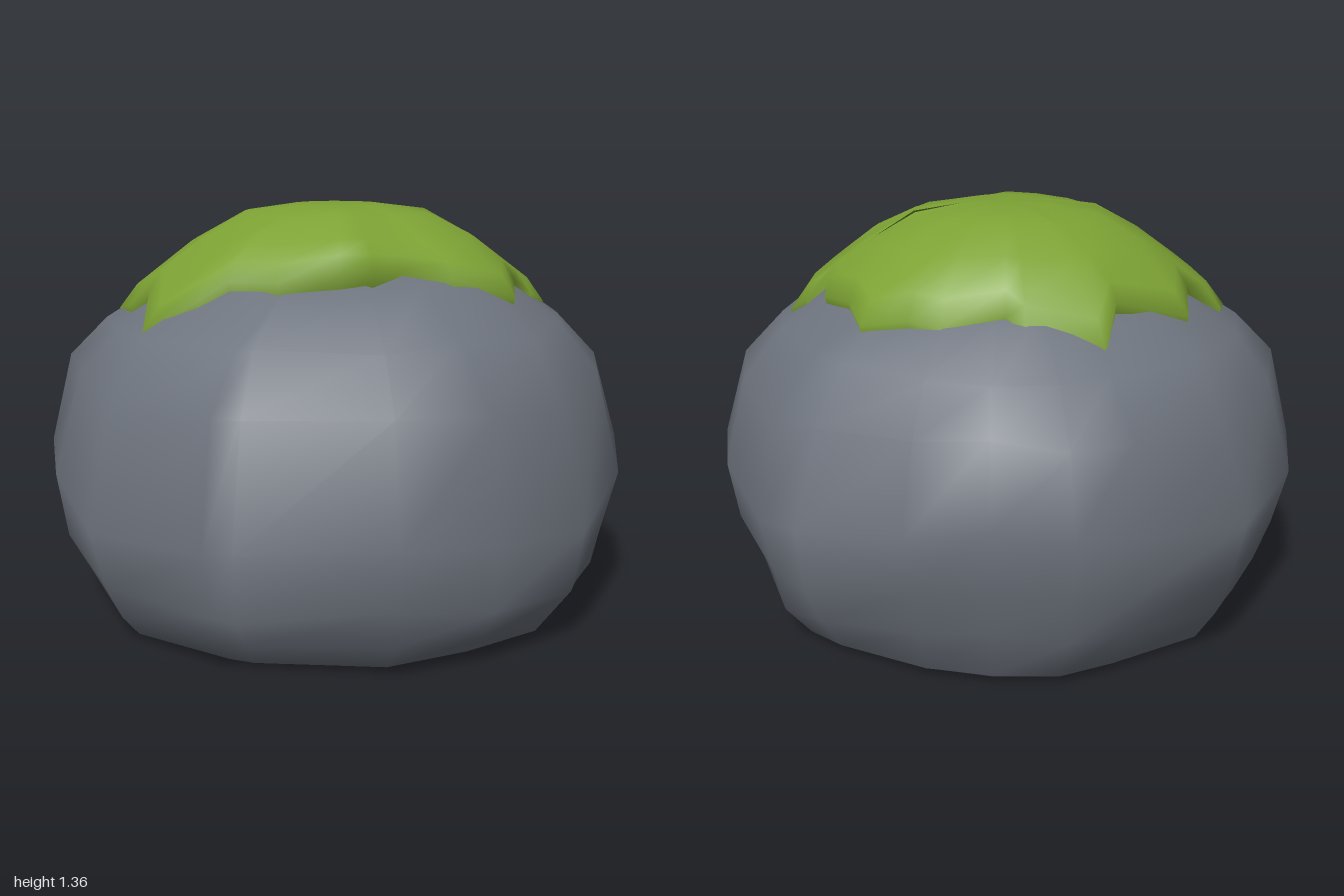
import * as THREE from 'three';

// Closed surface through equal-length rings (bottom to top) with a centre point at each end
function loft(rings, bottom, top) {
  const n = rings[0].length, index = [];
  const points = [...rings.flat(), bottom, top];
  const low = rings.length * n, high = low + 1, last = (rings.length - 1) * n;
  for (let j = 0; j < n; j++) {
    const k = (j + 1) % n;
    for (let i = 0; i < rings.length - 1; i++) {
      const a = i * n + j, b = i * n + k;
      index.push(a, b, b + n, a, b + n, a + n);
    }
    index.push(low, k, j, high, last + j, last + k);
  }
  const geometry = new THREE.BufferGeometry();
  geometry.setAttribute('position', new THREE.Float32BufferAttribute(points.flat(), 3));
  geometry.setIndex(index);
  geometry.computeVertexNormals();
  return geometry;
}

function seeded(seed) {
  return () => (seed = (seed * 16807) % 2147483647) / 2147483647;
}

// Piecewise linear lookup in [radius, height] pairs
function heightAt(profile, r) {
  for (let i = 1; i < profile.length; i++) {
    const [r0, y0] = profile[i - 1], [r1, y1] = profile[i];
    if (r <= r1) return y0 + (y1 - y0) * (r - r0) / (r1 - r0);
  }
  return profile[profile.length - 1][1];
}

// Boulder: plan outline [x, z] and vertical profile [scale, y]
const rockOutline = [
  [1, 0], [0.95, -0.25], [0.77, -0.65], [0.64, -0.76], [0.3, -0.94], [0.05, -1], [-0.2, -1],
  [-0.4, -0.9], [-0.74, -0.69], [-0.95, -0.3], [-1, 0], [-0.95, 0.25], [-0.78, 0.65],
  [-0.42, 0.9], [-0.33, 0.94], [0.15, 1], [0.46, 0.86], [0.75, 0.67], [0.95, 0.27],
];
const rockProfile = [
  [0.79, 0], [0.835, 0.025], [0.91, 0.17], [0.965, 0.32], [1, 0.53],
  [0.92, 0.82], [0.785, 0.97], [0.55, 1.12], [0.3, 1.19],
];

function rockGeometry() {
  const random = seeded(41);
  const rings = rockProfile.map(([s, y]) => rockOutline.map(([x, z]) => {
    const rough = y > 0.1 && s < 1 ? 1 : 0;
    const k = s * (1 + rough * (random() - 0.5) * 0.04);
    // The widest line tilts towards the front and sags on the diagonals
    const tilt = y < 0.85 ? 0.07 * z * Math.sin(Math.PI * y / 0.85) : 0;
    const sag = y < 1 ? 0.2 * Math.abs(x * z) * Math.sin(Math.PI * y) : 0;
    return [x * k, y - tilt - sag + rough * (random() - 0.5) * 0.03, z * k];
  }));
  return loft(rings, [0, 0, 0], [0, 1.21, 0]);
}

// Moss: ragged plan outline with side lobes, draped over a dome
const mossOutline = [
  [0.72, 0.03], [0.73, -0.1], [0.67, -0.13], [0.6, -0.1], [0.595, -0.23], [0.5, -0.37],
  [0.45, -0.5], [0.3, -0.55], [0.2, -0.59], [0, -0.58], [-0.06, -0.62], [-0.3, -0.62],
  [-0.34, -0.48], [-0.58, -0.36], [-0.6, -0.15], [-0.72, -0.12], [-0.75, 0], [-0.7, 0.13],
  [-0.63, 0.15], [-0.62, 0.46], [-0.45, 0.47], [-0.35, 0.45], [-0.2, 0.53], [0, 0.52],
  [0.1, 0.5], [0.2, 0.39], [0.36, 0.43], [0.57, 0.33], [0.6, 0.12], [0.66, 0.12],
];
const mossDome = [[0, 1.355], [0.2, 1.35], [0.32, 1.325], [0.45, 1.255], [0.58, 1.165], [0.74, 1.035], [0.85, 0.98]];
// [outline scale, drop below the dome, roundness] from the hidden underside to the crown
const mossLayers = [
  [0.9, 0.2, 0], [0.98, 0.12, 0], [1, 0.035, 0], [0.94, 0, 0.1],
  [0.78, 0, 0.6], [0.55, 0, 0.9], [0.28, 0, 1],
];

function mossGeometry() {
  const random = seeded(7);
  const rings = mossLayers.map(([s, drop, round]) => mossOutline.map(([x, z]) => {
    const edge = Math.hypot(x, z);
    const r = s * THREE.MathUtils.lerp(edge, 0.56, round);
    const px = x / edge * r, pz = z / edge * r;
    const bump = s < 0.9 && s > 0.5 ? (random() - 0.5) * 0.016 : 0;
    // Hollow behind the front notch, and a lower rim at the back
    const hollow = 0.06 * Math.exp(-((px - 0.2) ** 2 + (pz - 0.38) ** 2) / 0.01);
    const backRim = 0.4 * Math.max(0, -pz - 0.52);
    return [px, heightAt(mossDome, r) - drop + bump - hollow - backRim, pz];
  }));
  return loft(rings, [0, 1.1, 0], [0, 1.355, 0]);
}

export function createModel() {
  const stone = new THREE.MeshStandardMaterial({ color: 0x6e747e });
  stone.name = 'stone grey';
  const green = new THREE.MeshStandardMaterial({ color: 0x7da234 });
  green.name = 'moss green';

  const model = new THREE.Group();
  model.name = 'mossyBoulder';
  const rock = new THREE.Mesh(rockGeometry(), stone);
  rock.name = 'boulder';
  const moss = new THREE.Mesh(mossGeometry(), green);
  moss.name = 'mossCap';
  model.add(rock, moss);
  return model;
}
